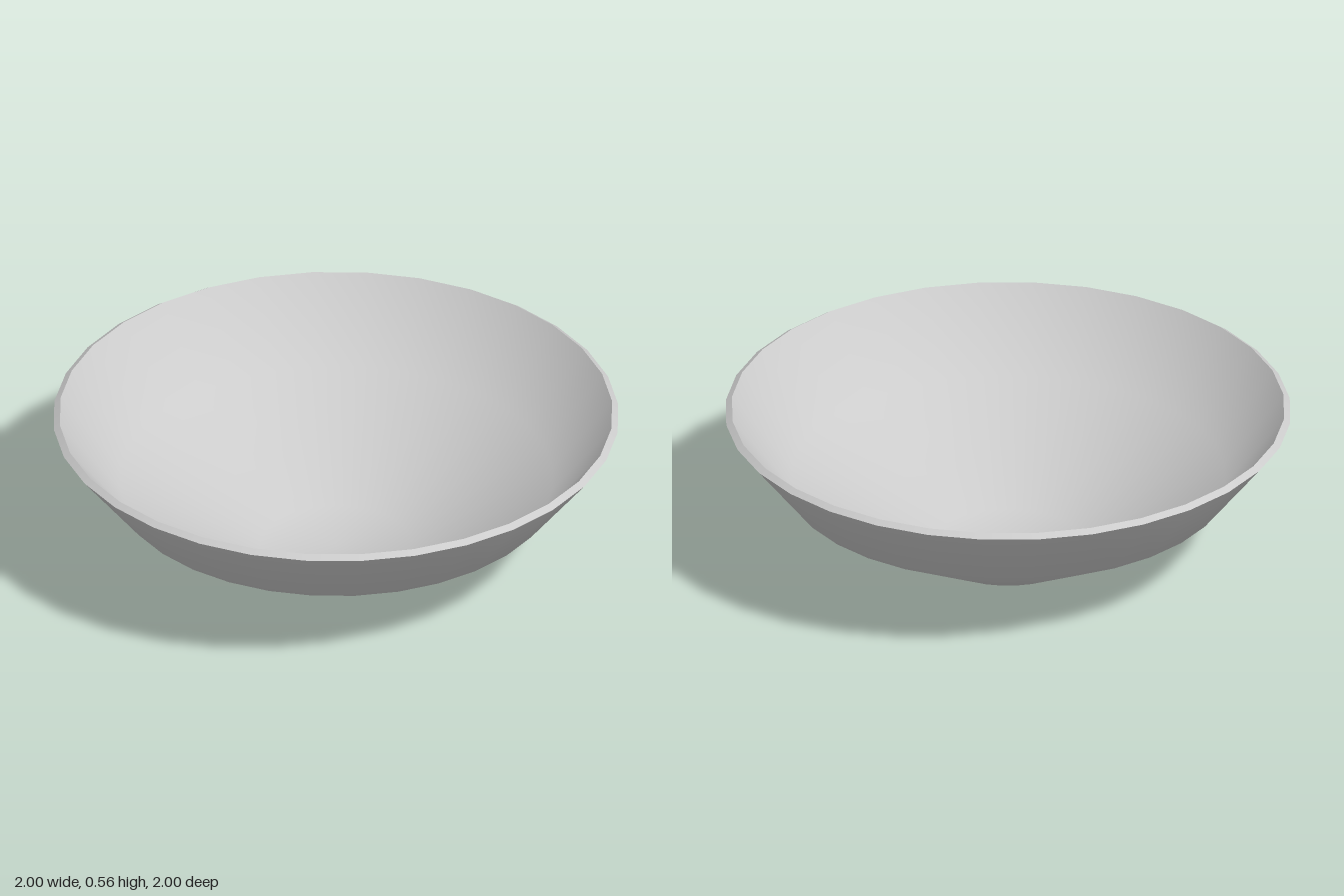
import * as THREE from 'three';

export function createModel() {
  const group = new THREE.Group();
  group.name = 'bowl';
  const material = new THREE.MeshStandardMaterial({ color: 0xcccccc });

  // Each surface is turned separately, so the rim keeps sharp edges
  const turn = (name, profile) => {
    const points = profile.map(([r, y]) => new THREE.Vector2(r, y));
    const mesh = new THREE.Mesh(new THREE.LatheGeometry(points, 32), material);
    mesh.name = name;
    group.add(mesh);
  };

  // Outside: flat foot, shallow lower wall, steeper upper wall
  turn('outerWall', [[0, 0], [0.275, 0], [0.785, 0.28], [1, 0.55]]);
  // Narrow rim, square to the wall
  turn('rim', [[1, 0.55], [0.978, 0.565]]);
  // Inside: the same curve, offset by the wall thickness
  turn('innerWall', [[0.978, 0.565], [0.768, 0.3], [0.269, 0.026], [0, 0.026]]);

  return group;
}
